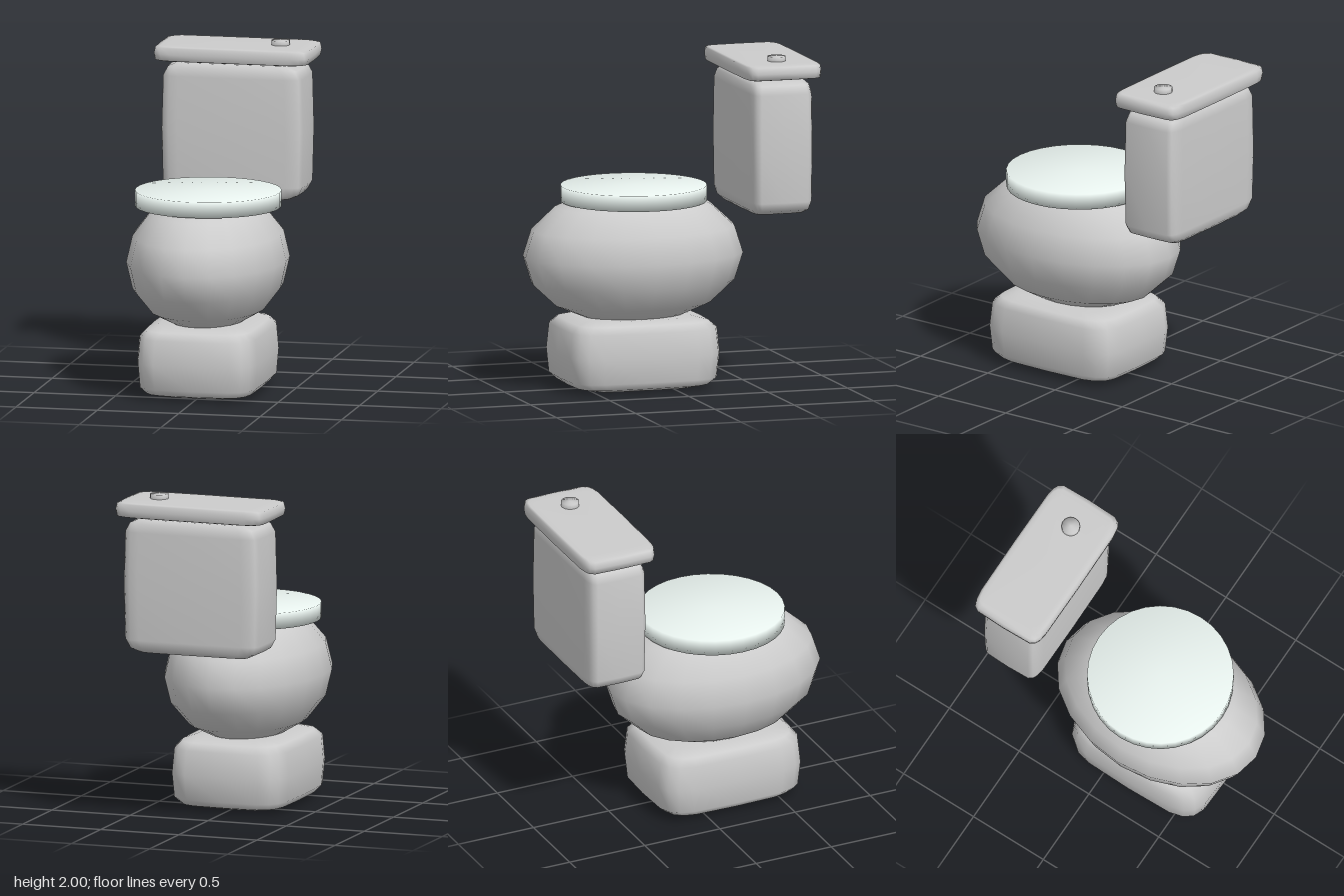
import * as THREE from 'three';
import { mergeVertices } from 'three/addons/utils/BufferGeometryUtils.js';

// Weld all corners so that normals are averaged over every edge
function weld(geometry) {
  geometry.deleteAttribute('normal');
  geometry.deleteAttribute('uv');
  const welded = mergeVertices(geometry, 1e-4);
  welded.computeVertexNormals();
  return welded;
}

// Sphere squared off by raising each coordinate to a power: 1 is round, near 0 is boxy
function superellipsoid(halfX, halfY, halfZ, power) {
  const bend = (v) => (Math.abs(v) < 1e-6 ? 0 : Math.sign(v) * Math.abs(v) ** power);
  const geometry = new THREE.SphereGeometry(1, 20, 8);
  const pos = geometry.attributes.position;
  for (let i = 0; i < pos.count; i++) {
    const x = pos.getX(i), y = pos.getY(i), z = pos.getZ(i);
    const r = Math.hypot(x, z);
    const spread = bend(r);
    const cx = r < 1e-6 ? 0 : bend(x / r);
    const cz = r < 1e-6 ? 0 : bend(z / r);
    pos.setXYZ(i, halfX * spread * cx, halfY * bend(y), halfZ * spread * cz);
  }
  return weld(geometry);
}

const disc = (radius, height, sides) =>
  weld(new THREE.CylinderGeometry(radius, radius, height, sides));

export function createModel() {
  const model = new THREE.Group();
  model.name = 'toilet';
  const grey = new THREE.MeshStandardMaterial({ color: 0xcccccc });
  const pale = new THREE.MeshStandardMaterial({ color: 0xe8f2ee });

  const add = (name, geometry, x, y, z, material = grey) => {
    const mesh = new THREE.Mesh(geometry, material);
    mesh.name = name;
    mesh.position.set(x, y, z);
    model.add(mesh);
  };

  // Foot, bowl and seat
  add('base', superellipsoid(0.375, 0.22, 0.48, 0.4), 0, 0.22, 0.19);
  add('bowl', superellipsoid(0.48, 0.42, 0.68, 1), 0, 0.8, 0.19);
  add('seat', disc(0.44, 0.096, 32), 0, 1.172, 0.185, pale);

  // Cistern behind the bowl
  add('tank', superellipsoid(0.44, 0.413, 0.197, 0.24), 0, 1.459, -0.63);
  add('tankLid', superellipsoid(0.48, 0.047, 0.24, 0.22), 0, 1.925, -0.63);
  add('flushButton', disc(0.055, 0.06, 20), 0.263, 1.97, -0.63);

  return model;
}
